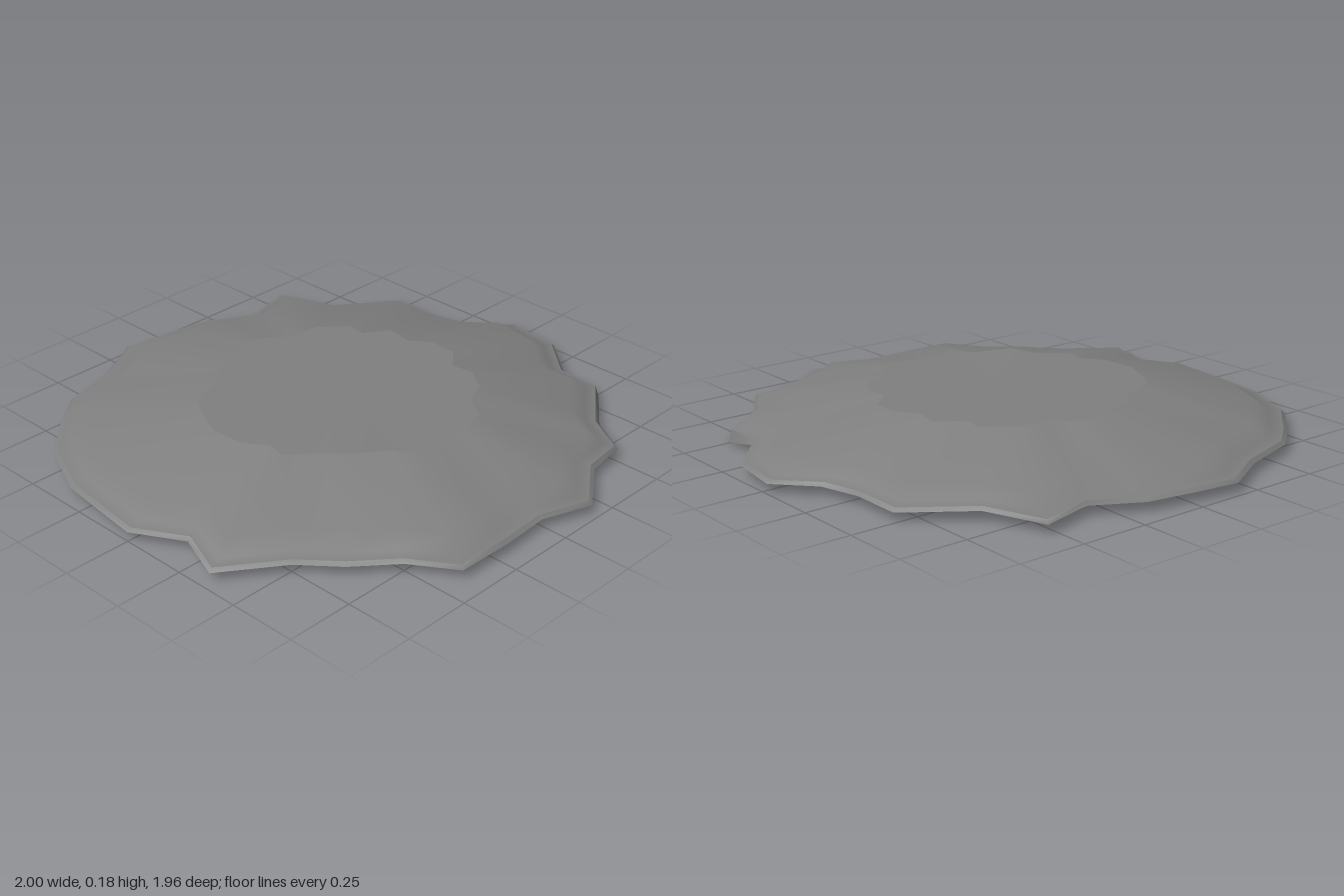
import * as THREE from 'three';

// Irregular rim outline and plateau outline as x, z pairs, clockwise from the back
const RIM = [
  -0.18, -0.98, 0, -0.955, 0.17, -0.925, 0.34, -0.83, 0.54, -0.88, 0.62, -0.66, 0.84, -0.5, 0.84, -0.31,
  0.88, -0.16, 1, -0.03, 0.97, 0.18, 0.83, 0.34, 0.82, 0.51, 0.61, 0.67, 0.52, 0.82, 0.36, 0.84,
  0.17, 0.975, -0.01, 0.91, -0.2, 0.92, -0.41, 0.915, -0.51, 0.76, -0.65, 0.64, -0.76, 0.51, -0.97, 0.36,
  -0.9, 0.18, -1, 0, -0.96, -0.34, -0.86, -0.56, -0.7, -0.72, -0.59, -0.81, -0.36, -0.88,
];
const PLATEAU = [
  -0.1, -0.43, -0.02, -0.5, 0.07, -0.47, 0.15, -0.405, 0.26, -0.4, 0.36, -0.31, 0.345, -0.24, 0.44, -0.18,
  0.42, -0.08, 0.475, 0, 0.47, 0.1, 0.39, 0.17, 0.4, 0.25, 0.34, 0.34, 0.25, 0.37, 0.19, 0.465,
  0.06, 0.49, -0.02, 0.445, -0.15, 0.49, -0.2, 0.41, -0.32, 0.34, -0.37, 0.26, -0.47, 0.17, -0.455, 0.1,
  -0.51, 0.02, -0.52, -0.11, -0.48, -0.2, -0.43, -0.29, -0.38, -0.32, -0.26, -0.365, -0.22, -0.42,
];
const N = RIM.length / 2;
const DIP = 12; // rim corner that hangs down to the ground
const HIGH = 20; // slightly raised plateau corner

// One closed ring of points: scaled outline at a height, with one corner at its own height
function ring(outline, scale, height, corner = -1, cornerHeight = height) {
  return Array.from({ length: N }, (_, i) => [
    outline[2 * i] * scale, i === corner ? cornerHeight : height, outline[2 * i + 1] * scale,
  ]);
}

function surface(points, index) {
  const geometry = new THREE.BufferGeometry();
  geometry.setAttribute('position', new THREE.Float32BufferAttribute(points.flat(), 3));
  geometry.setIndex(index);
  geometry.computeVertexNormals();
  return geometry;
}

// Smooth band through rings listed from the outside in
function band(rings) {
  const index = [];
  for (let r = 0; r < rings.length - 1; r++) {
    for (let i = 0; i < N; i++) {
      const a = r * N + i, b = r * N + ((i + 1) % N);
      index.push(a, a + N, b, b, a + N, b + N);
    }
  }
  return surface(rings.flat(), index);
}

// Fan from a centre point to a ring, facing up or down
function fan(points, centre, up) {
  const index = [];
  for (let i = 0; i < N; i++) {
    const j = (i + 1) % N;
    index.push(...(up ? [i, N, j] : [i, j, N]));
  }
  return surface([...points, centre], index);
}

export function createModel() {
  const stone = new THREE.MeshStandardMaterial({ color: 0x808080 });
  stone.name = 'grey stone';
  const model = new THREE.Group();
  model.name = 'flatRock';

  const base = ring(RIM, 1, 0.035, DIP, 0);
  const edge = ring(RIM, 0.985, 0.047);
  const ledge = ring(RIM, 0.94, 0.054);
  const shoulder = ring(RIM, 0.88, 0.093);
  const top = ring(PLATEAU, 1, 0.168, HIGH, 0.178);

  const parts = {
    rim: band([base, edge]),
    slope: band([edge, ledge, shoulder, top]),
    plateau: fan(top, [0.03, 0.166, 0], true),
    underside: fan(base, [0, 0.02, 0], false),
  };
  for (const [name, geometry] of Object.entries(parts)) {
    const mesh = new THREE.Mesh(geometry, stone);
    mesh.name = name;
    model.add(mesh);
  }
  return model;
}
